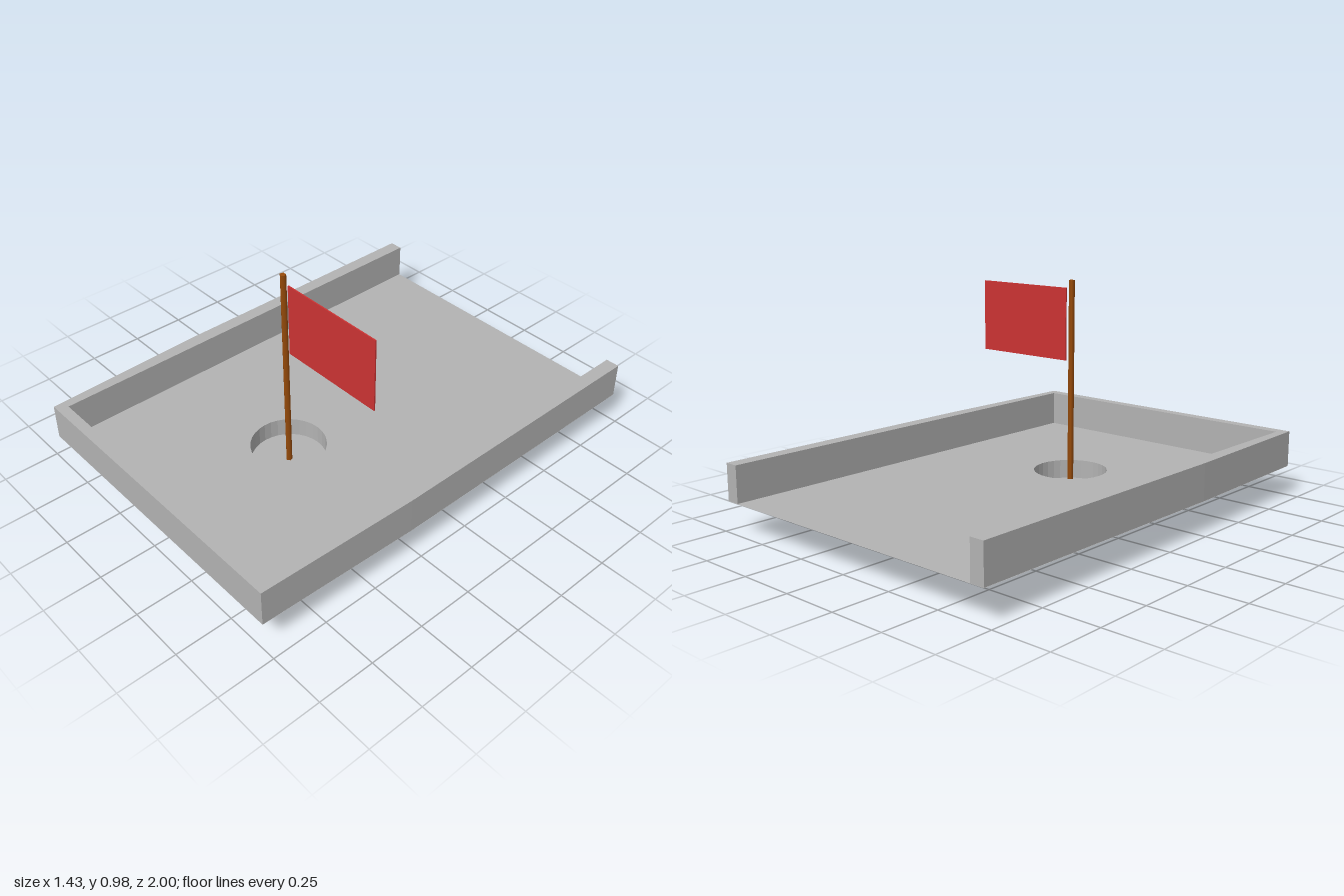
import * as THREE from 'three';

const material = (name, color, extra = {}) =>
  Object.assign(new THREE.MeshStandardMaterial({ color, ...extra }), { name });

export function createModel() {
  const group = new THREE.Group();
  const grey = material('grey', 0xb3b3b3, { side: THREE.DoubleSide, flatShading: true });
  const brown = material('brown', 0x994c0a);
  const red = material('red', 0xcc3333);

  const floorY = 0.134, topY = 0.295, cupR = 0.163, cupZ = 0.3, cupFloorY = 0.05;

  const add = (name, geometry, mat, x = 0, y = 0, z = 0) => {
    const mesh = new THREE.Mesh(geometry, mat);
    mesh.name = name;
    mesh.position.set(x, y, z);
    group.add(mesh);
    return mesh;
  };
  const outline = (points) => new THREE.Shape(points.map(([x, z]) => new THREE.Vector2(x, z)));

  // Outer edge, tapering towards the front
  const outer = [[-0.717, -1], [0.717, -1], [0.717, 0.28], [0.695, 1], [-0.695, 1], [-0.717, 0.28]];

  // Thin floor with a round hole
  const floorShape = outline(outer);
  floorShape.holes.push(new THREE.Path().absarc(0, cupZ, cupR, 0, Math.PI * 2, true));
  add('floor', new THREE.ShapeGeometry(floorShape, 16).rotateX(Math.PI / 2), grey, 0, floorY, 0);

  // Rim wall on three sides, open at the back
  const rimShape = outline([
    ...outer.slice(1), outer[0],
    [-0.655, -1], [-0.655, 0.953], [0.655, 0.953], [0.655, -1],
  ]);
  const rim = new THREE.ExtrudeGeometry(rimShape, { depth: topY - floorY - 0.001, bevelEnabled: false });
  add('rimWall', rim.rotateX(Math.PI / 2), grey, 0, topY, 0);

  // Cup below the hole, with a raised inner floor
  add('cupWall', new THREE.CylinderGeometry(cupR, cupR, floorY, 32, 1, true), grey, 0, floorY / 2, cupZ);
  for (const [name, y] of [['cupBase', 0], ['cupFloor', cupFloorY]]) {
    add(name, new THREE.CircleGeometry(cupR, 32).rotateX(-Math.PI / 2), grey, 0, y, cupZ);
  }

  // Flag pole and flag
  const poleH = 0.98 - cupFloorY;
  add('flagPole', new THREE.CylinderGeometry(0.0135, 0.0135, poleH, 5), brown, 0, cupFloorY + poleH / 2, cupZ);
  add('flag', new THREE.BoxGeometry(0.488, 0.32, 0.006), red, 0.275, 0.784, cupZ);

  return group;
}
